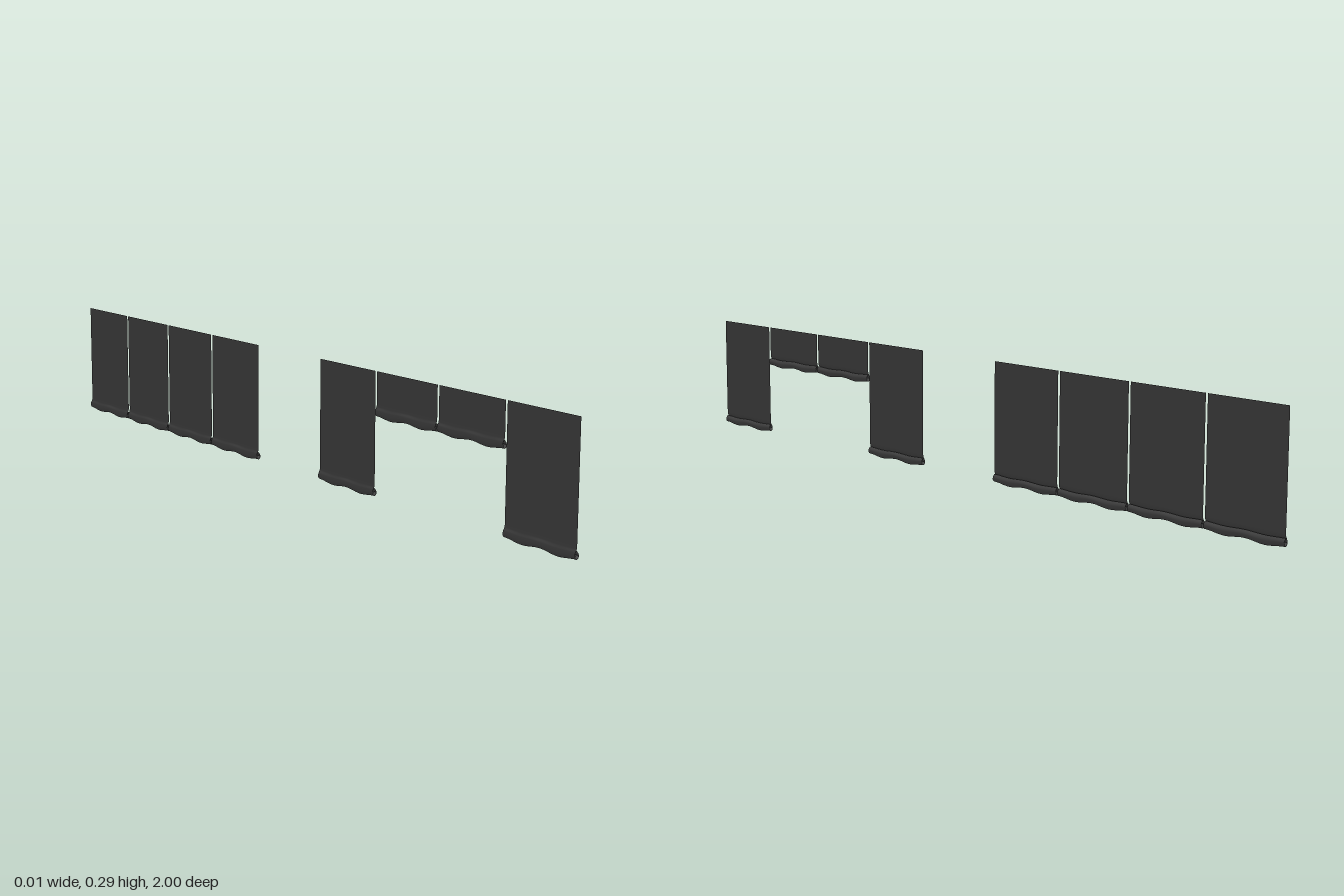
import * as THREE from 'three';
import { ParametricGeometry } from 'three/addons/geometries/ParametricGeometry.js';

const TOP = 0.295, WIDTH = 0.213, PITCH = 0.2185;
const fabric = new THREE.MeshStandardMaterial({ color: 0x505050, side: THREE.DoubleSide });
const metal = new THREE.MeshStandardMaterial({ color: 0x505050 });

// Teardrop pocket section (x, y above the hem's lowest point), closing on the cloth
const pocket = new THREE.CatmullRomCurve3([
  [0, 0.032], [-0.001, 0.026], [-0.0045, 0.018], [-0.0058, 0.011], [-0.004, 0.005],
  [0, 0.0025], [0.004, 0.005], [0.0055, 0.011], [0.004, 0.016], [0, 0.022],
].map(([x, y]) => new THREE.Vector3(x, y, 0)));

// One hanging blind: flat cloth, wavy hem pocket and the weight rod inside it
function makeBlind(name, z, bottom) {
  const blind = new THREE.Group();
  blind.name = name;
  blind.position.z = z;

  const clothBottom = bottom + 0.031;
  const cloth = new THREE.Mesh(new THREE.PlaneGeometry(WIDTH, TOP - clothBottom), fabric);
  cloth.name = 'cloth';
  cloth.rotation.y = Math.PI / 2;
  cloth.position.y = (TOP + clothBottom) / 2;

  const p = new THREE.Vector3();
  const hem = new THREE.Mesh(new ParametricGeometry((u, v, target) => {
    pocket.getPoint(v, p);
    // The cloth sags in two soft waves, strongest at the bottom of the pocket
    const slack = THREE.MathUtils.clamp((0.032 - p.y) / 0.026, 0, 1);
    const wave = Math.cos(u * Math.PI * 4) * 0.0025 * slack;
    target.set(p.x, bottom + p.y + wave, (u - 0.5) * WIDTH);
  }, 32, 28), fabric);
  hem.name = 'hemPocket';

  const rod = new THREE.Mesh(new THREE.CylinderGeometry(0.0045, 0.0045, WIDTH, 16), metal);
  rod.name = 'weightRod';
  rod.rotation.x = Math.PI / 2;
  rod.position.y = bottom + 0.0105;

  blind.add(cloth, hem, rod);
  return blind;
}

export function createModel() {
  const model = new THREE.Group();
  model.name = 'rollerBlinds';
  // Two rows of four; the middle pair of the front row is drawn up
  for (const [row, side] of [['front', 1], ['back', -1]]) {
    for (let i = 0; i < 4; i++) {
      const raised = side > 0 && (i === 1 || i === 2);
      const z = side * (1 - WIDTH / 2 - i * PITCH);
      model.add(makeBlind(`${row}Blind${i + 1}`, z, raised ? 0.187 : 0));
    }
  }
  return model;
}
